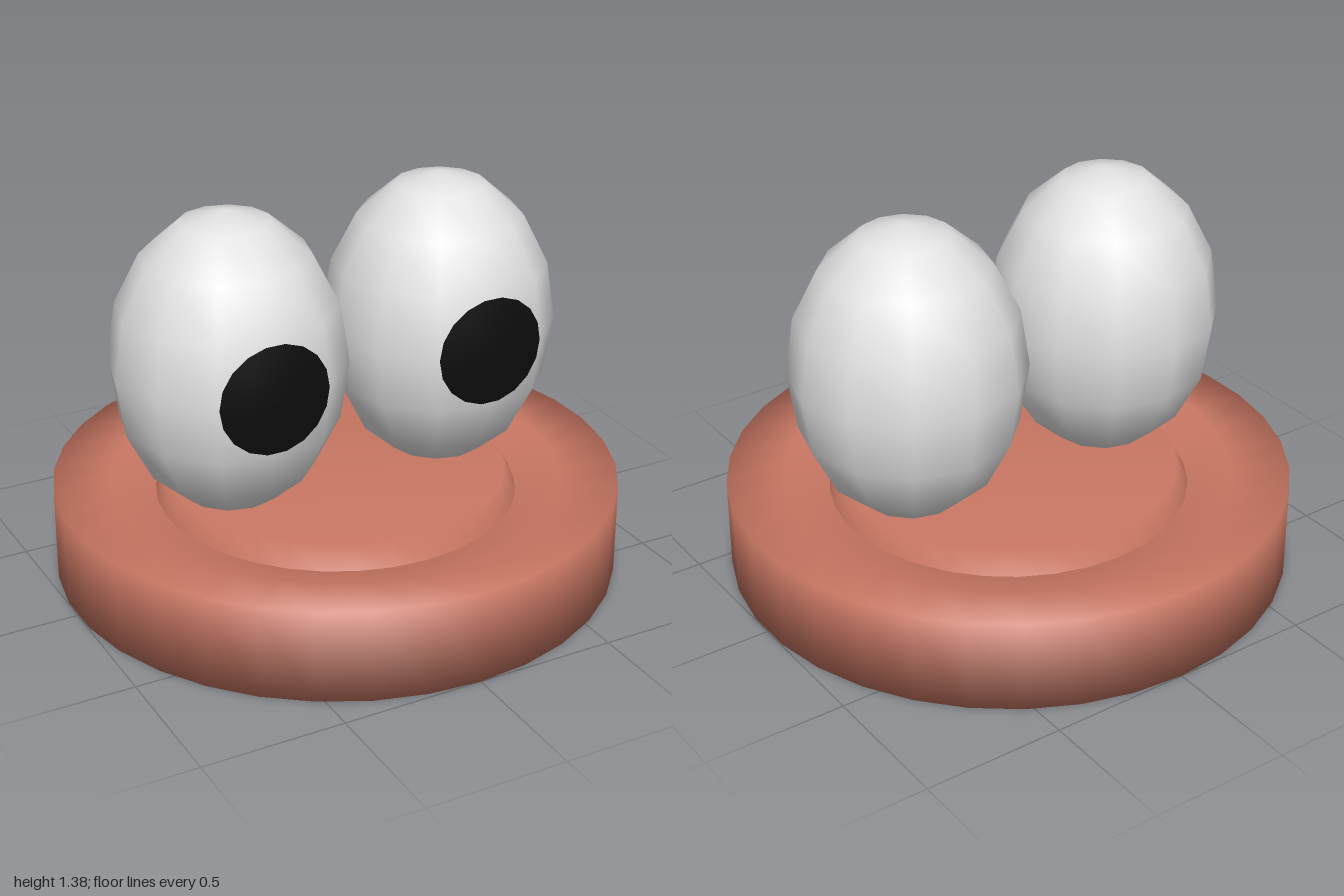
import * as THREE from 'three';

const baseMat = new THREE.MeshStandardMaterial({ name: 'terracotta', color: 0xc97763 });
const eyeMat = new THREE.MeshStandardMaterial({ name: 'eyeWhite', color: 0xe2e2e2 });
const pupilMat = new THREE.MeshStandardMaterial({ name: 'pupilBlack', color: 0x0d0d0d, side: THREE.DoubleSide });

const SIDES = 34;

function addMesh(parent, name, geometry, material) {
  const mesh = new THREE.Mesh(geometry, material);
  mesh.name = name;
  parent.add(mesh);
  return mesh;
}

// Smooth turned solid from [radius, height] pairs, bottom to top
function turned(points) {
  return new THREE.LatheGeometry(points.map(([r, y]) => new THREE.Vector2(r, y)), SIDES);
}

// Egg-shaped ball, flattened at the front where the pupil sits
function eyeballGeometry() {
  const geo = new THREE.SphereGeometry(1, 12, 8);
  geo.scale(0.41, 0.54, 0.41);
  const pos = geo.attributes.position;
  for (let i = 0; i < pos.count; i++) pos.setZ(i, Math.min(pos.getZ(i), 0.35));
  return geo;
}

// Thin, gently domed disc
function pupilGeometry() {
  const geo = new THREE.RingGeometry(0, 0.2, 18, 3);
  geo.scale(1, 0.975, 1);
  const pos = geo.attributes.position;
  for (let i = 0; i < pos.count; i++) {
    const x = pos.getX(i), y = pos.getY(i);
    pos.setZ(i, 0.385 - 0.8 * x * x - 0.6 * y * y);
  }
  geo.computeVertexNormals();
  return geo;
}

export function createModel() {
  const model = new THREE.Group();
  model.name = 'eyesOnBase';

  // Round base whose top slopes into a groove
  addMesh(model, 'base', turned([[0, 0], [1, 0], [1, 0.33], [0.8, 0.32], [0.64, 0.27]]), baseMat);

  // Raised centre disc inside the groove
  addMesh(model, 'centreDisc', turned([[0.64, 0.27], [0.6, 0.35], [0, 0.35]]), baseMat);

  // Pair of eyes
  const ball = eyeballGeometry();
  const pupil = pupilGeometry();
  for (const [name, side] of [['leftEye', 1], ['rightEye', -1]]) {
    const eye = new THREE.Group();
    eye.name = name;
    eye.position.set(side * 0.41, 0.835, 0);
    addMesh(eye, 'eyeball', ball, eyeMat);
    addMesh(eye, 'pupil', pupil, pupilMat);
    model.add(eye);
  }
  return model;
}
